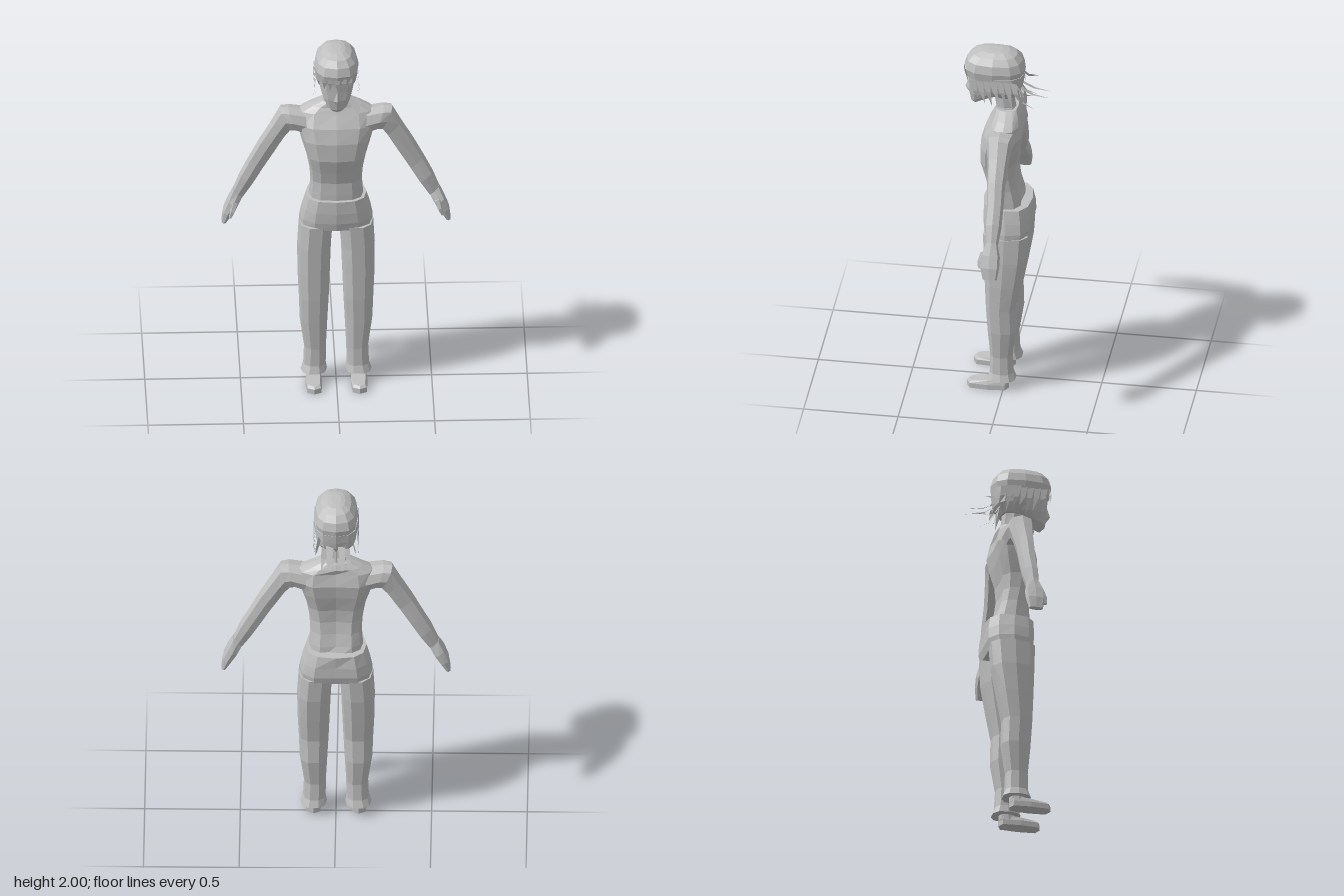
import * as THREE from 'three';

const grey = new THREE.MeshStandardMaterial({ color: 0xbfbfbf, flatShading: true, side: THREE.DoubleSide });
grey.name = 'plain grey';

// Ring: [x0, y0, x1, y1, zFront, zBack, tilt]; the tilt lifts the front edge.
const level = (y, w, zf, zb, tilt = 0) => [-w, y, w, y, zf, zb, tilt];
const flip = (rings) => rings.map(([a, b, c, d, ...rest]) => [-a, b, -c, d, ...rest]);

// Skin a closed tube over rings with rounded-box cross-sections.
function loft(name, rings, { n = 12, p = 0.75, shape } = {}) {
  const pos = [], idx = [];
  const soft = (v) => Math.sign(v) * Math.abs(v) ** p;
  for (const [x0, y0, x1, y1, zf, zb, tilt = 0] of rings) {
    for (let i = 0; i < n; i++) {
      const a = (i / n) * Math.PI * 2, c = soft(Math.cos(a)), s = soft(Math.sin(a));
      const v = new THREE.Vector3(
        (x0 + x1) / 2 + (c * (x1 - x0)) / 2,
        (y0 + y1) / 2 + (c * (y1 - y0)) / 2 + s * tilt,
        (zf + zb) / 2 + (s * (zf - zb)) / 2);
      if (shape) shape(v);
      pos.push(v.x, v.y, v.z);
    }
  }
  const last = rings.length - 1;
  for (let r = 0; r < last; r++) {
    for (let i = 0; i < n; i++) {
      const a = r * n + i, b = r * n + ((i + 1) % n);
      idx.push(a, a + n, b, b, a + n, b + n);
    }
  }
  for (const r of [0, last]) {
    const [x0, y0, x1, y1, zf, zb] = rings[r], m = pos.length / 3;
    pos.push((x0 + x1) / 2, (y0 + y1) / 2, (zf + zb) / 2);
    for (let i = 0; i < n; i++) {
      const a = r * n + i, b = r * n + ((i + 1) % n);
      idx.push(...(r ? [a, m, b] : [a, b, m]));
    }
  }
  // Turn the faces outward when the rings run the other way.
  const at = (i) => new THREE.Vector3().fromArray(pos, i * 3);
  let volume = 0;
  for (let i = 0; i < idx.length; i += 3) volume += at(idx[i]).dot(at(idx[i + 1]).cross(at(idx[i + 2])));
  if (volume < 0) idx.reverse();
  return finish(name, pos, idx);
}

function finish(name, pos, idx) {
  const g = new THREE.BufferGeometry();
  g.setAttribute('position', new THREE.Float32BufferAttribute(pos, 3));
  g.setIndex(idx);
  g.computeVertexNormals();
  const mesh = new THREE.Mesh(g, grey);
  mesh.name = name;
  return mesh;
}

// Flat pointed lock of hair: root, bend, tip and half-width vector.
function lock(name, root, mid, tip, w) {
  const pos = [];
  for (const [q, k] of [[root, 1], [mid, 0.75]]) {
    for (const s of [-k, k]) pos.push(q[0] + s * w[0], q[1] + s * w[1], q[2] + s * w[2]);
  }
  pos.push(...tip);
  return finish(name, pos, [0, 1, 2, 2, 1, 3, 2, 3, 4]);
}

export function createModel() {
  const model = new THREE.Group();
  model.name = 'figure';

  // Torso with a groove down the spine
  model.add(loft('torso', [
    level(1.06, 0.145, 0.1, -0.1), level(1.13, 0.14, 0.1, -0.09),
    level(1.2, 0.135, 0.098, -0.07), level(1.27, 0.14, 0.115, -0.06),
    level(1.35, 0.155, 0.138, -0.065), level(1.45, 0.185, 0.137, -0.09),
    level(1.53, 0.205, 0.115, -0.102), level(1.6, 0.195, 0.075, -0.085),
    level(1.63, 0.14, 0.06, -0.075), level(1.66, 0.075, 0.055, -0.06)], {
    shape: (v) => {
      if (Math.abs(v.x) < 0.01 && v.z < 0 && v.y > 1.1 && v.y < 1.62) v.z += 0.018;
    },
  }));
  model.add(loft('neck', [
    level(1.62, 0.075, 0.055, -0.06), level(1.67, 0.056, 0.06, -0.045),
    level(1.8, 0.052, 0.085, -0.03)], { n: 8 }));

  // Head and face
  model.add(loft('head', [
    level(1.685, 0.028, 0.172, 0.125, -0.015), level(1.71, 0.055, 0.192, 0.06, -0.02),
    level(1.75, 0.078, 0.203, 0), level(1.8, 0.092, 0.205, -0.05),
    level(1.87, 0.1, 0.21, -0.06), level(1.93, 0.09, 0.19, -0.05)]));
  model.add(finish('nose',
    [0, 1.82, 0.2, -0.018, 1.745, 0.2, 0.018, 1.745, 0.2, 0, 1.755, 0.222, 0, 1.715, 0.195],
    [0, 1, 3, 0, 3, 2, 1, 4, 3, 3, 4, 2]));

  // Hair: cap, nape and loose locks
  model.add(loft('hairCap', [
    level(1.85, 0.108, 0.214, -0.09), level(1.9, 0.117, 0.226, -0.098),
    level(1.945, 0.106, 0.212, -0.084), level(1.978, 0.08, 0.182, -0.055),
    level(1.995, 0.048, 0.135, -0.015), level(2, 0.025, 0.1, 0.02)]));
  model.add(loft('hairBack', [
    level(1.735, 0.07, 0.05, -0.045), level(1.78, 0.103, 0.1, -0.08),
    level(1.82, 0.111, 0.15, -0.088), level(1.87, 0.113, 0.18, -0.094)]));
  for (const x of [-0.065, -0.035, 0, 0.035, 0.065]) {
    const z = 0.226 - Math.abs(x) * 0.35;
    model.add(lock('fringeLock', [x, 1.885, z], [x, 1.86, z], [x * 1.05, 1.82, z - 0.008], [0.016, 0, 0]));
  }
  for (const s of [-1, 1]) {
    // Side locks sweep back along the cheeks
    for (let i = 0; i < 7; i++) {
      const z = 0.165 - i * 0.036, drop = 1.75 - (i % 3) * 0.022;
      model.add(lock('sideLock', [s * 0.113, 1.86, z], [s * 0.118, 1.8, z - 0.01],
        [s * (0.108 + (i % 2) * 0.012), drop, z - 0.03], [0, 0.004, 0.018]));
    }
    // Locks flicking out behind the neck
    model.add(
      lock('napeSpike', [s * 0.03, 1.79, -0.075], [s * 0.034, 1.755, -0.14], [s * 0.034, 1.74, -0.23], [0.02, 0.006, 0]),
      lock('napeFlick', [s * 0.055, 1.77, -0.06], [s * 0.065, 1.72, -0.09], [s * 0.075, 1.69, -0.155], [0.018, 0.006, 0]),
      lock('upperFlick', [s * 0.085, 1.83, -0.06], [s * 0.1, 1.79, -0.1], [s * 0.105, 1.79, -0.15], [0.006, 0.014, 0]),
      lock('napeLock', [s * 0.025, 1.77, -0.06], [s * 0.022, 1.71, -0.07], [s * 0.01, 1.66, -0.1], [0.02, 0, 0]));
  }

  // Trousers: hips
  model.add(loft('hips', [
    level(0.895, 0.05, 0.05, -0.07), level(0.925, 0.192, 0.11, -0.138),
    level(0.97, 0.192, 0.12, -0.15), level(1.03, 0.18, 0.124, -0.148),
    level(1.1, 0.16, 0.122, -0.135)], {
    shape: (v) => {
      if (Math.abs(v.x) < 0.01 && v.z < -0.1 && v.y < 1.05) v.z += 0.015;
    },
  }));

  // Limbs, mirrored
  const arm = [
    [0.15, 1.47, 0.16, 1.6, 0.085, -0.075], [0.21, 1.49, 0.25, 1.615, 0.08, -0.068],
    [0.235, 1.485, 0.295, 1.612, 0.068, -0.064], [0.262, 1.45, 0.34, 1.53, 0.058, -0.055],
    [0.325, 1.345, 0.405, 1.42, 0.05, -0.045], [0.385, 1.245, 0.457, 1.32, 0.043, -0.045],
    [0.435, 1.16, 0.505, 1.225, 0.045, -0.042], [0.488, 1.08, 0.54, 1.135, 0.034, -0.03]];
  const hand = [
    [0.488, 1.085, 0.54, 1.138, 0.034, -0.03], [0.515, 1.035, 0.568, 1.075, 0.058, -0.045],
    [0.545, 0.99, 0.592, 1.01, 0.055, -0.045], [0.577, 0.938, 0.6, 0.945, 0.04, -0.035]];
  const thumb = [
    [0.512, 1.06, 0.545, 1.08, 0.06, 0.02], [0.53, 1.02, 0.555, 1.03, 0.074, 0.035],
    [0.548, 0.985, 0.562, 0.99, 0.07, 0.045]];
  const legRow = (y, inner, outer, zf, zb) => [inner, y, outer, y, zf, zb];
  const leg = [
    legRow(0.06, 0.048, 0.186, 0.088, -0.065), legRow(0.1, 0.054, 0.172, 0.074, -0.05),
    legRow(0.2, 0.053, 0.168, 0.072, -0.045), legRow(0.36, 0.045, 0.19, 0.085, -0.07),
    legRow(0.5, 0.038, 0.195, 0.094, -0.066), legRow(0.65, 0.032, 0.202, 0.1, -0.095),
    legRow(0.8, 0.026, 0.203, 0.106, -0.122), legRow(0.94, 0.015, 0.195, 0.112, -0.132)];
  const foot = [
    legRow(0, 0.075, 0.162, 0.195, -0.028), [0.075, 0.028, 0.162, 0.028, 0.195, -0.028],
    [0.085, 0.05, 0.152, 0.05, 0.18, -0.022, -0.012]];
  const ankle = [legRow(0.03, 0.08, 0.156, 0.07, -0.028), legRow(0.1, 0.085, 0.15, 0.045, -0.025)];
  for (const [side, place] of [['left', (r) => r], ['right', flip]]) {
    model.add(
      loft(side + 'Arm', place(arm), { n: 8 }),
      loft(side + 'Hand', place(hand), { n: 8, p: 0.6 }),
      loft(side + 'Thumb', place(thumb), { n: 6 }),
      loft(side + 'TrouserLeg', place(leg), { n: 10, p: 0.8 }),
      loft(side + 'Foot', place(foot), { n: 8, p: 0.5 }),
      loft(side + 'Ankle', place(ankle), { n: 8 }));
  }
  return model;
}
